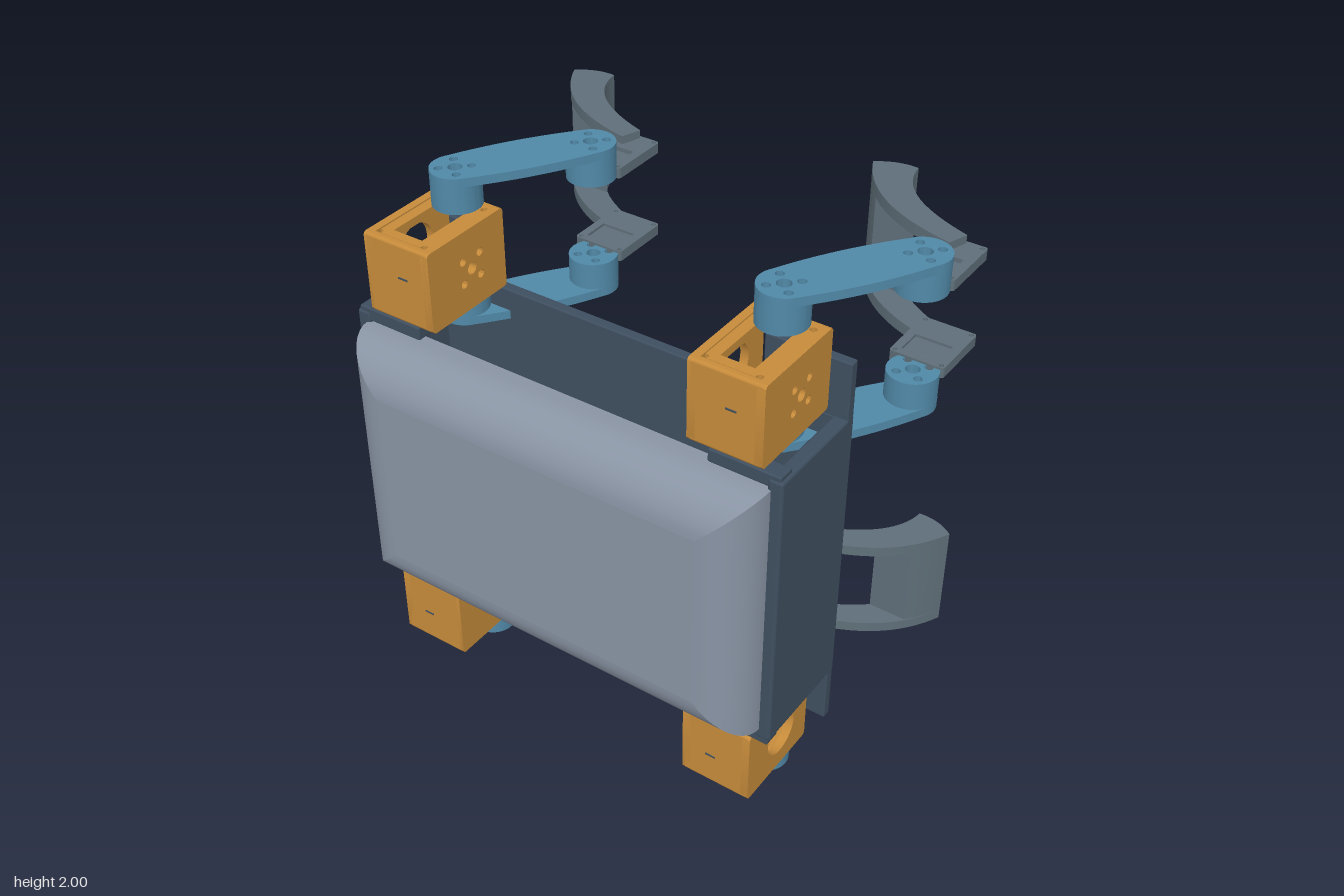
import * as THREE from 'three';
import { toCreasedNormals } from 'three/addons/utils/BufferGeometryUtils.js';
import { RoundedBoxGeometry } from 'three/addons/geometries/RoundedBoxGeometry.js';

const paint = (color) => new THREE.MeshStandardMaterial({ color, side: THREE.DoubleSide });
const ORANGE = paint(0xc68b3b), BLUE = paint(0x5189a8), DARK = paint(0x3f4f60);
const SHELL = paint(0x8994a4), STEEL = paint(0x5f6f79);
const MID = 0.7175; // mid-height of a leg, measured from the body's centre

function add(parent, name, geometry, material, x = 0, y = 0, z = 0) {
  const mesh = new THREE.Mesh(geometry, material);
  mesh.name = name;
  mesh.position.set(x, y, z);
  parent.add(mesh);
  return mesh;
}

// Box given by its limits
function block(parent, name, material, [x0, x1], [y0, y1], [z0, z1], r = 0.006) {
  const g = new RoundedBoxGeometry(x1 - x0, y1 - y0, z1 - z0, 2, r);
  return add(parent, name, g, material, (x0 + x1) / 2, (y0 + y1) / 2, (z0 + z1) / 2);
}

function extrude(shape, depth) {
  const g = new THREE.ExtrudeGeometry(shape, { depth, bevelEnabled: false, curveSegments: 20 });
  return toCreasedNormals(g, 0.6);
}

// Plan outline (x, -z) raised along y
const slab = (shape, height) => extrude(shape, height).rotateX(-Math.PI / 2);

function hole(shape, x, y, r) {
  shape.holes.push(new THREE.Path().absarc(x, y, r, 0, Math.PI * 2, true));
}

// Centre hole with four screw holes round it
function drill(shape, x, y, turn, centre, spread = 0.055) {
  hole(shape, x, y, centre);
  for (let i = 0; i < 4; i++) {
    const a = Math.PI / 4 + i * Math.PI / 2 + turn;
    hole(shape, x + spread * Math.cos(a), y + spread * Math.sin(a), 0.015);
  }
}

function polygon(points) {
  return new THREE.Shape(points.map(([x, y]) => new THREE.Vector2(x, y)));
}

function roundedRect(x0, x1, y0, y1, r) {
  const s = new THREE.Shape();
  s.absarc(x1 - r, y1 - r, r, 0, Math.PI / 2);
  s.absarc(x0 + r, y1 - r, r, Math.PI / 2, Math.PI);
  s.absarc(x0 + r, y0 + r, r, Math.PI, Math.PI * 1.5);
  s.absarc(x1 - r, y0 + r, r, Math.PI * 1.5, Math.PI * 2);
  return s;
}

// Cover with quarter-round edges that meet in mitred corners
function coverGeometry(w, h, zBack, zFront, r) {
  const rings = [[0, zBack]];
  for (let i = 0; i <= 10; i++) {
    const a = (i / 10) * Math.PI / 2;
    rings.push([r * (1 - Math.cos(a)), zFront - r + r * Math.sin(a)]);
  }
  const pos = [], index = [];
  const corners = [[-1, -1], [1, -1], [1, 1], [-1, 1]];
  for (let s = 0; s < 4; s++) {
    const start = pos.length / 3;
    rings.forEach(([inset, z], i) => {
      for (const [cx, cy] of [corners[s], corners[(s + 1) % 4]]) pos.push(cx * (w - inset), cy * (h - inset), z);
      const a = start + i * 2;
      if (i < rings.length - 1) index.push(a, a + 1, a + 3, a, a + 3, a + 2);
    });
  }
  for (const [k, inset, z] of [[1, r, zFront], [-1, 0, zBack]]) {
    const a = pos.length / 3;
    for (const [cx, cy] of corners) pos.push(cx * k * (w - inset), cy * (h - inset), z);
    index.push(a, a + 1, a + 2, a, a + 2, a + 3);
  }
  const g = new THREE.BufferGeometry();
  g.setAttribute('position', new THREE.Float32BufferAttribute(pos, 3));
  g.setIndex(index);
  g.computeVertexNormals();
  return g;
}

function buildHousing() {
  const group = new THREE.Group();
  group.name = 'motorHousing';
  // Side walls: screw holes on one, a large round opening on the other
  for (const side of [1, -1]) {
    const wall = roundedRect(0.19, 0.57, 0.57, 0.87, 0.014);
    if (side > 0) drill(wall, 0.36, 0.72, 0, 0.022, 0.06);
    else hole(wall, 0.36, 0.72, 0.085);
    const g = extrude(wall, 0.03).rotateY(-Math.PI / 2);
    add(group, 'housingSide', g, ORANGE, side > 0 ? 0.135 : -0.105);
  }
  block(group, 'housingFront', ORANGE, [-0.135, 0.135], [0.57, 0.87], [0.535, 0.57], 0.012);
  block(group, 'cableSlot', DARK, [0, 0.04], [0.739, 0.746], [0.56, 0.572], 0.001);
  // Slotted end plates
  for (const y of [0.575, 0.835]) {
    const plate = polygon([[-0.13, -0.19], [-0.065, -0.19], [-0.065, -0.5], [0.055, -0.5], [0.055, -0.19],
      [0.13, -0.19], [0.13, -0.56], [-0.13, -0.56]]);
    for (const x of [-0.1, 0.09]) for (const z of [0.23, 0.53]) hole(plate, x, -z, 0.012);
    add(group, 'housingEnd', slab(plate, 0.03), ORANGE, 0, y);
  }
  return group;
}

function buildLeg() {
  const leg = new THREE.Group();
  leg.name = 'leg';
  const angle = Math.atan2(0.4, 0.2575), length = 0.476, r = 0.087, hipX = -0.01, hipZ = 0.245;
  const kneeX = 0.2475, kneeZ = -0.155, half = Math.PI / 2;

  const link = new THREE.Shape();
  link.moveTo(0, -r);
  link.quadraticCurveTo(length / 2, -0.118, length, -r);
  link.absarc(length, 0, r, -half, half);
  link.quadraticCurveTo(length / 2, 0.118, 0, r);
  link.absarc(0, 0, r, half, 3 * half);
  drill(link, 0, 0, -angle, 0.025);
  drill(link, length, 0, -angle, 0.025);

  const hip = new THREE.Shape();
  hip.absarc(0, 0, r, Math.PI - 0.76, Math.PI * 2 + 0.76);
  drill(hip, 0, 0, 0, 0.025, 0.05);
  const knee = new THREE.Shape().absarc(0, 0, r, 0, Math.PI * 2);
  drill(knee, 0, 0, 0, 0.025);

  // Bracket rim round a thin web
  const rim = roundedRect(0.135, 0.333, 0.2, 0.44, 0.012);
  rim.holes.push(polygon([[0.165, 0.23], [0.165, 0.33], [0.3, 0.33], [0.3, 0.23]]));
  for (const x of [0.15, 0.318]) for (const y of [0.214, 0.426]) hole(rim, x, y, 0.008);
  const web = roundedRect(0.16, 0.305, 0.225, 0.335, 0.004);

  const claw = new THREE.Shape();
  claw.moveTo(-0.225, 0.69);
  claw.quadraticCurveTo(-0.155, 0.745, -0.075, 0.735);
  claw.bezierCurveTo(-0.06, 0.58, 0.08, 0.49, 0.26, 0.427);
  claw.lineTo(0.235, 0.354);
  claw.bezierCurveTo(0.02, 0.4, -0.14, 0.5, -0.225, 0.69);

  const post = new THREE.Shape();
  post.moveTo(-0.225, 0.69);
  post.quadraticCurveTo(-0.155, 0.745, -0.075, 0.735);
  post.quadraticCurveTo(-0.063, 0.635, 0.013, 0.56);
  post.lineTo(-0.138, 0.56);
  post.quadraticCurveTo(-0.19, 0.615, -0.225, 0.69);
  add(leg, 'footPost', slab(post, 0.41), STEEL, 0, 0.5125);

  // Matching upper and lower parts about the leg's mid-height
  for (const upper of [true, false]) {
    const layer = (name, shape, y, h, mat, x = 0, z = 0) =>
      add(leg, name, slab(shape, h), mat, x, upper ? y : 2 * MID - y - h, z);
    layer('legLink', link, 0.968, 0.032, BLUE, hipX, hipZ).rotation.y = angle;
    layer('hipHorn', hip, 0.868, 0.1, BLUE, hipX, hipZ);
    layer('kneeHorn', knee, 0.87, 0.098, BLUE, kneeX, kneeZ);
    layer('footBracketRim', rim, 0.862, 0.038, STEEL);
    layer('footBracketWeb', web, 0.872, 0.012, STEEL);
    layer('footArm', claw, 0.888, 0.042, STEEL);
  }
  return leg;
}

export function createModel() {
  const model = new THREE.Group();
  model.name = 'fourLeggedRobot';

  // Body: front cover, open-ended frame behind it
  add(model, 'bodyCover', coverGeometry(0.8, 0.505, 0.525, 0.73, 0.165), SHELL, 0, 1.005, 0);
  block(model, 'backPlate', DARK, [-0.84, 0.84], [0.46, 1.55], [0.15, 0.19]);
  for (const s of [-1, 1]) {
    const span = (a, b) => (s > 0 ? [a, b] : [-b, -a]);
    block(model, 'bodySide', DARK, span(0.785, 0.84), [0.46, 1.55], [0.15, 0.57], 0.012);
    block(model, 'legGuard', DARK, span(0.53, 0.84), [0.25, 1.76], [0.152, 0.188]);
    for (const [y0, y1] of [[1.515, 1.565], [0.435, 0.485]]) {
      block(model, 'motorLedge', DARK, span(0.57, 0.83), [y0, y1], [0.5, 0.565]);
      block(model, 'motorStrap', DARK, span(0.575, 0.7), [y0, y1], [0.18, 0.51]);
    }
  }

  // Four leg units; the lower pair is the upper pair turned half round
  for (const x of [-0.6325, 0.6325]) {
    for (const lower of [false, true]) {
      const unit = new THREE.Group();
      unit.name = lower ? 'lowerLegUnit' : 'upperLegUnit';
      unit.add(buildHousing(), buildLeg());
      unit.position.set(x, 1, 0);
      if (lower) unit.rotation.z = Math.PI;
      model.add(unit);
    }
  }
  return model;
}
